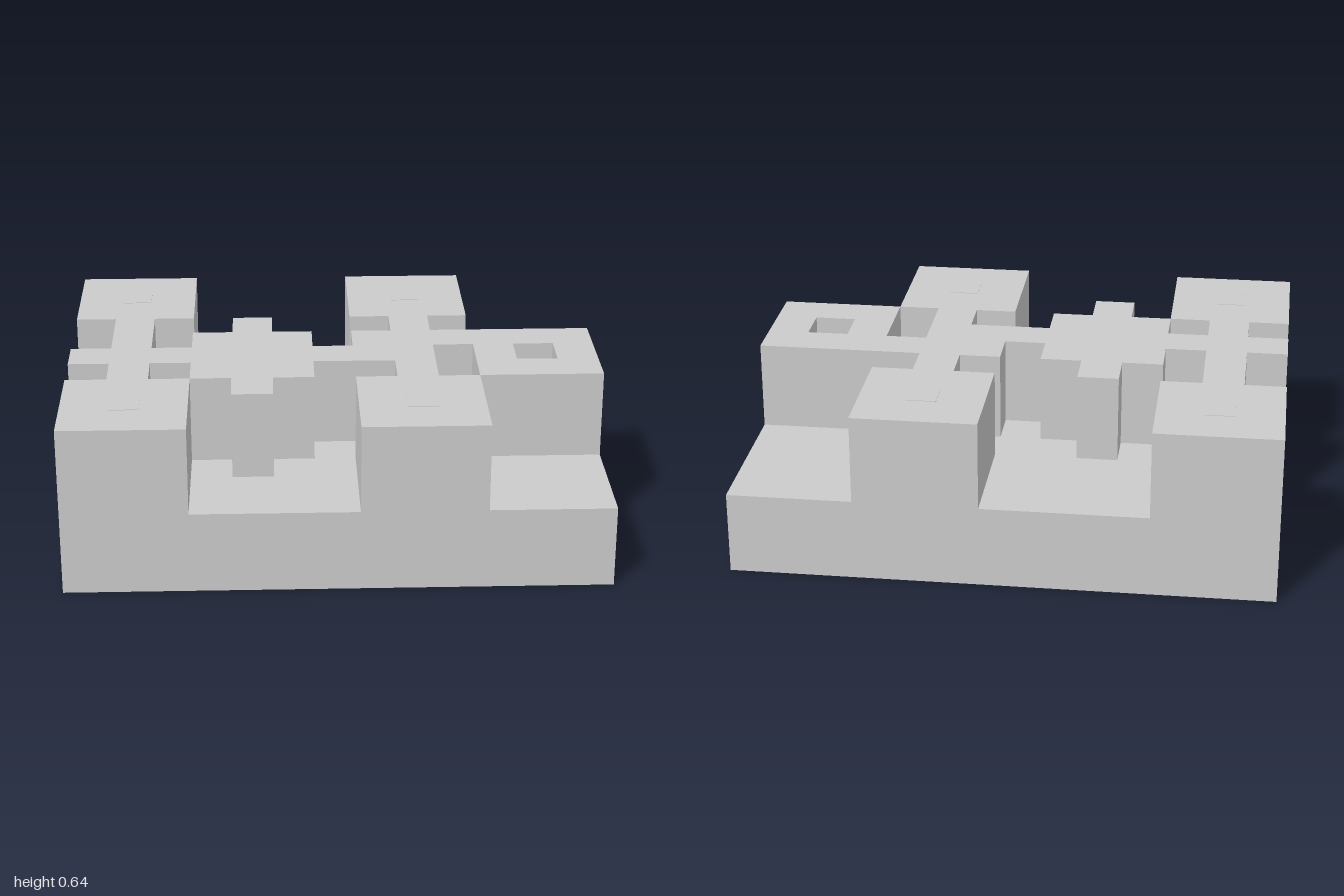
import * as THREE from 'three';

// Plan of the block, back row first: '#' raised deck, '.' sunken floor
const PLAN = [
  '###....###...',
  '###....###...',
  '###....###...',
  '.#..#...#....',
  '.#.###.######',
  '#########.#.#',
  '.#.###..#.###',
  '###.#..###...',
  '###....###...',
  '###....###...',
];
const COLS = 13, ROWS = 10, CELL = 2 / COLS;
const LOW = 0.308, HIGH = 0.64;

const X = (c) => -1 + c * CELL;
const Z = (r) => (r - ROWS / 2) * CELL;
const heightAt = (c, r) =>
  c < 0 || r < 0 || c >= COLS || r >= ROWS ? 0 : PLAN[r][c] === '#' ? HIGH : LOW;

// Collects flat quads (corners counter-clockwise) into one mesh
function quadMesh(name, quads, material) {
  const pos = [];
  for (const [a, b, c, d] of quads) pos.push(...a, ...b, ...c, ...a, ...c, ...d);
  const geo = new THREE.BufferGeometry();
  geo.setAttribute('position', new THREE.Float32BufferAttribute(pos, 3));
  geo.computeVertexNormals();
  const mesh = new THREE.Mesh(geo, material);
  mesh.name = name;
  return mesh;
}

export function createModel() {
  const group = new THREE.Group();
  group.name = 'steppedBlock';
  const material = new THREE.MeshStandardMaterial({
    color: 0xcccccc, flatShading: true, side: THREE.DoubleSide,
  });

  const deck = [], floor = [], outer = [], inner = [];
  for (let r = 0; r < ROWS; r++) {
    for (let c = 0; c < COLS; c++) {
      const h = heightAt(c, r);
      const x0 = X(c), x1 = X(c + 1), z0 = Z(r), z1 = Z(r + 1);
      // Horizontal surface of the cell
      (h === HIGH ? deck : floor).push([[x0, h, z1], [x1, h, z1], [x1, h, z0], [x0, h, z0]]);
      // Wall down to each lower neighbour, facing outwards
      const sides = [
        [0, 1, x0, z1, x1, z1], [1, 0, x1, z1, x1, z0],
        [0, -1, x1, z0, x0, z0], [-1, 0, x0, z0, x0, z1],
      ];
      for (const [dc, dr, ax, az, bx, bz] of sides) {
        const n = heightAt(c + dc, r + dr);
        if (n < h) {
          (n === 0 ? outer : inner).push([[ax, n, az], [bx, n, bz], [bx, h, bz], [ax, h, az]]);
        }
      }
    }
  }
  group.add(
    quadMesh('raisedDeck', deck, material),
    quadMesh('sunkenFloor', floor, material),
    quadMesh('outerWalls', outer, material),
    quadMesh('stepWalls', inner, material),
  );

  // Thin square pads on the four corner blocks
  const padGeo = new THREE.BoxGeometry(0.11, 0.004, 0.11);
  for (const c of [1, 8]) {
    for (const r of [1, 8]) {
      const pad = new THREE.Mesh(padGeo, material);
      pad.name = 'cornerPad';
      pad.position.set(X(c + 0.5), HIGH, Z(r + 0.5));
      group.add(pad);
    }
  }
  return group;
}
